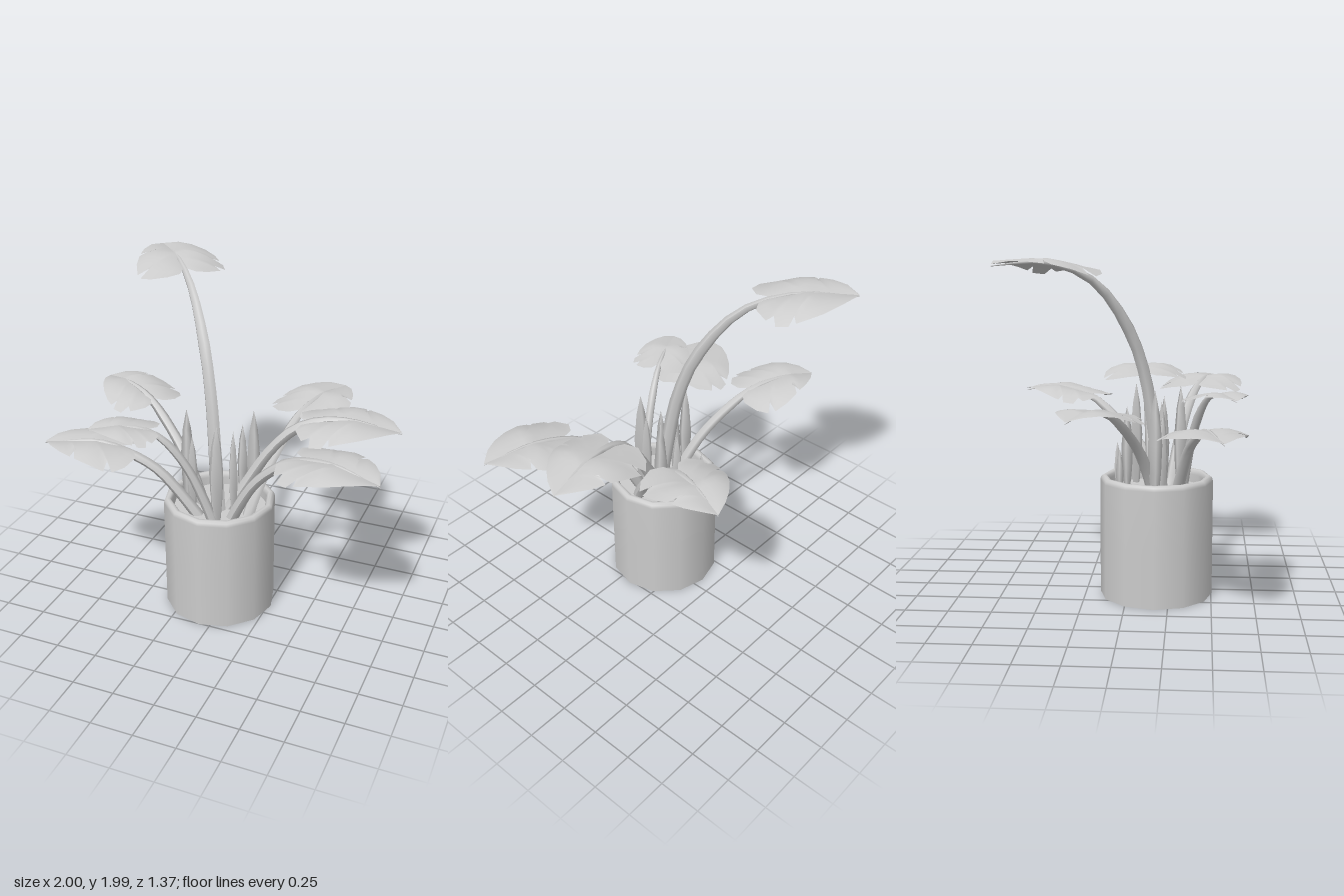
import * as THREE from 'three';

const material = new THREE.MeshStandardMaterial({ color: 0xcccccc, side: THREE.DoubleSide });
const POT = { x: -0.065, z: 0.17, r: 0.335, h: 0.72, soil: 0.64 };

function addMesh(parent, geometry, name) {
  const mesh = new THREE.Mesh(geometry, material);
  mesh.name = name;
  parent.add(mesh);
  return mesh;
}

// Half-blade outlines: [distance back from the tip, distance from the midrib]
const HALF_A = [[0, 0], [0.06, 0.09], [0.13, 0.155], [0.2, 0.195], [0.225, 0.13], [0.23, 0.21], [0.32, 0.25],
  [0.42, 0.27], [0.43, 0.2], [0.47, 0.265], [0.54, 0.22], [0.59, 0.13], [0.57, 0.05], [0.48, 0]];
const HALF_B = [[0, 0], [0.06, 0.085], [0.13, 0.15], [0.22, 0.21], [0.31, 0.245], [0.37, 0.255], [0.38, 0.2],
  [0.41, 0.265], [0.48, 0.255], [0.485, 0.19], [0.53, 0.21], [0.58, 0.12], [0.56, 0.05], [0.48, 0]];

// Leaves: base and tip on the ground plane, blade scale, stem radius, [fraction, height] along the stem
const LEAVES = [
  { name: 'tallLeaf', base: [-0.06, 0.2], tip: [-0.79, -0.65], size: 1, r: 0.046,
    rise: [[0, 0.62], [0.05, 0.98], [0.1, 1.28], [0.19, 1.55], [0.37, 1.82], [0.53, 1.93], [0.74, 1.98], [1, 1.96]] },
  { name: 'leftBackLeaf', base: [-0.18, 0.16], tip: [-1, -0.25], size: 0.88, r: 0.038, flip: true,
    rise: [[0, 0.64], [0.08, 0.78], [0.2, 0.93], [0.4, 1.09], [0.57, 1.18], [0.82, 1.21], [1, 1.18]] },
  { name: 'leftFrontLeaf', base: [-0.14, 0.29], tip: [-1, 0.55], size: 0.93, r: 0.036,
    rise: [[0, 0.62], [0.16, 0.82], [0.28, 0.94], [0.44, 1.03], [0.65, 1.1], [1, 1.08]] },
  { name: 'smallFrontLeaf', base: [-0.04, 0.32], tip: [-0.67, 0.62], size: 0.68, r: 0.032, flip: true,
    rise: [[0, 0.62], [0.08, 0.78], [0.2, 0.98], [0.36, 1.15], [0.52, 1.24], [0.75, 1.27], [1, 1.25]] },
  { name: 'rightLeaf', base: [-0.02, 0.15], tip: [0.97, 0.01], size: 1, r: 0.042,
    rise: [[0, 0.62], [0.1, 0.8], [0.27, 1.08], [0.42, 1.23], [0.57, 1.29], [0.73, 1.3], [1, 1.25]] },
  { name: 'rightFrontLeaf', base: [0.04, 0.25], tip: [0.995, 0.55], size: 1, r: 0.038,
    rise: [[0, 0.62], [0.06, 0.74], [0.17, 0.92], [0.28, 1.04], [0.44, 1.16], [0.7, 1.23], [1, 1.2]] },
  { name: 'rightBackLeaf', base: [0.13, 0.2], tip: [0.44, -0.68], size: 0.92, r: 0.036, flip: true,
    rise: [[0, 0.64], [0.04, 0.72], [0.17, 0.88], [0.34, 1.03], [0.51, 1.15], [0.74, 1.2], [1, 1.17]] },
];

// Young shoots: x, z, tip height, radius
const SHOOTS = [
  [-0.18, -0.04, 0.9, 0.022], [0.035, -0.07, 0.9, 0.022], [0.01, -0.01, 1.12, 0.036],
  [0.1, 0.04, 1.25, 0.04], [0.04, 0.21, 1.18, 0.034], [-0.08, 0.2, 1.16, 0.036],
  [-0.02, 0.31, 1.25, 0.045], [-0.27, 0.17, 1.25, 0.042], [-0.22, 0.21, 1.1, 0.032],
];

// Piecewise-linear height at a fraction of the stem
function heightAt(rise, f) {
  let i = 1;
  while (i < rise.length - 1 && rise[i][0] < f) i++;
  const [f0, y0] = rise[i - 1], [f1, y1] = rise[i];
  return y0 + (y1 - y0) * (f - f0) / (f1 - f0);
}

// Six-sided tube that narrows to the leaf tip
function stemGeometry(points, radius) {
  const rings = 16, sides = 6;
  const curve = new THREE.CatmullRomCurve3(points);
  const geo = new THREE.TubeGeometry(curve, rings, radius, sides);
  const pos = geo.attributes.position, v = new THREE.Vector3();
  for (let i = 0; i <= rings; i++) {
    const t = i / rings, center = curve.getPointAt(t);
    const k = t < 0.5 ? 1 - 0.5 * t : 0.75 * (1 - t) / 0.5 + 0.04;
    for (let j = 0; j <= sides; j++) {
      const n = i * (sides + 1) + j;
      v.fromBufferAttribute(pos, n).sub(center).multiplyScalar(k).add(center);
      pos.setXYZ(n, v.x, v.y, v.z);
    }
  }
  geo.computeVertexNormals();
  return geo;
}

// One half of a blade: strips from the midrib out to the notched edge
function bladeGeometry(outline, place) {
  const cols = 4, last = outline.length - 1, positions = [], index = [];
  outline.forEach(([a, p], i) => {
    const rib = 0.48 * i / last;
    for (let s = 0; s <= cols; s++) {
      const t = s / cols;
      positions.push(...place(rib + (a - rib) * t, p * t));
      if (i < last && s < cols) {
        const n = i * (cols + 1) + s, m = n + cols + 1;
        index.push(n, m, n + 1, n + 1, m, m + 1);
      }
    }
  });
  const geo = new THREE.BufferGeometry();
  geo.setAttribute('position', new THREE.Float32BufferAttribute(positions, 3));
  // The mirrored half is wound the other way so both face up
  const [, , z0] = place(0.2, 0), [, , z1] = place(0.2, 0.1), [x0] = place(0.2, 0), [x1] = place(0.2, 0.1);
  const [bx, , bz] = place(0.4, 0);
  if ((bz - z0) * (x1 - x0) - (bx - x0) * (z1 - z0) < 0) index.reverse();
  geo.setIndex(index);
  geo.computeVertexNormals();
  return geo;
}

function makeLeaf({ name, base, tip, size, r, rise, flip }) {
  const leaf = new THREE.Group();
  leaf.name = name;
  const dx = base[0] - tip[0], dz = base[1] - tip[1], length = Math.hypot(dx, dz);
  const ux = dx / length, uz = dz / length;

  const points = rise.map(([f, y]) => new THREE.Vector3(base[0] - dx * f, y - 0.01, base[1] - dz * f));
  addMesh(leaf, stemGeometry(points, r), 'stem');

  for (const side of [-1, 1]) {
    const place = (a, p) => {
      const along = a * size, across = p * size * side;
      const flat = Math.min(along, 0.32 * size);
      // Follows the midrib, then swells and droops towards the edge
      const y = heightAt(rise, 1 - flat / length) - 0.2 * (along - flat) + size * (0.3 * p - 1.8 * p * p);
      return [tip[0] + ux * along - uz * across, y, tip[1] + uz * along + ux * across];
    };
    addMesh(leaf, bladeGeometry((side > 0) !== !!flip ? HALF_A : HALF_B, place), 'blade');
  }
  return leaf;
}

export function createModel() {
  const plant = new THREE.Group();
  plant.name = 'pottedPlant';

  // Pot wall with a rounded lip, open underneath
  const { r, h, soil } = POT;
  const profile = [[r, 0], [r, 0.35], [r, h - 0.03], [r - 0.006, h - 0.01], [r - 0.02, h],
    [r - 0.035, h], [r - 0.045, h - 0.01], [r - 0.05, h - 0.03], [r - 0.05, soil - 0.02]];
  const wall = new THREE.LatheGeometry(profile.map(([x, y]) => new THREE.Vector2(x, y)), 12);
  addMesh(plant, wall, 'pot').position.set(POT.x, 0, POT.z);

  const soilDisc = new THREE.CircleGeometry(r - 0.045, 12).rotateX(-Math.PI / 2);
  addMesh(plant, soilDisc, 'soil').position.set(POT.x, soil, POT.z);

  for (const leaf of LEAVES) plant.add(makeLeaf(leaf));

  // Four-sided pointed shoots
  SHOOTS.forEach(([x, z, top, radius], i) => {
    const tall = top - soil + 0.02;
    const outline = [[0.5, 0], [0.85, 0.25], [1, 0.5], [0.6, 0.8], [0, 1]]
      .map(([k, y]) => new THREE.Vector2(k * radius, y * tall));
    const shoot = addMesh(plant, new THREE.LatheGeometry(outline, 4), 'shoot');
    shoot.position.set(x, soil - 0.02, z);
    shoot.rotation.y = i * 0.7;
  });
  return plant;
}
